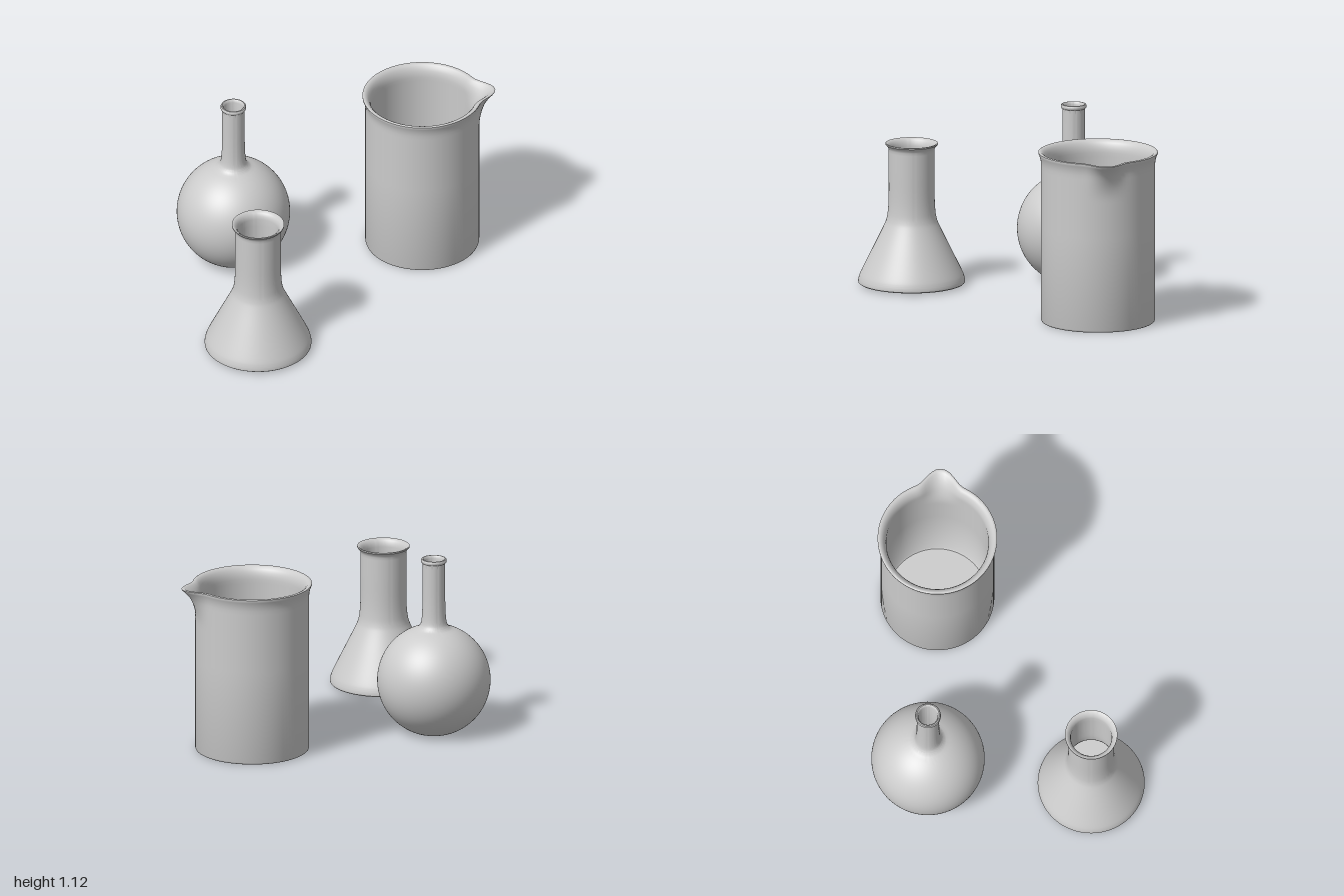
import * as THREE from 'three';
import { toCreasedNormals } from 'three/addons/utils/BufferGeometryUtils.js';

const material = new THREE.MeshStandardMaterial({ color: 0xcccccc, side: THREE.DoubleSide });
const SEGMENTS = 96;

// Closed glass wall: profile runs from the base centre, up the outside, over the lip, down the inside.
function glass(name, profile, x, z, reshape) {
  const points = profile.map(([r, y]) => new THREE.Vector2(r, y));
  let geometry = new THREE.LatheGeometry(points, SEGMENTS, Math.PI / 2);
  if (reshape) reshape(geometry.attributes.position);
  geometry = toCreasedNormals(geometry, 0.7);
  const mesh = new THREE.Mesh(geometry, material);
  mesh.name = name;
  mesh.position.set(x, 0, z);
  return mesh;
}

// Smooth run of profile points through a few guides.
function smooth(guides, count) {
  const curve = new THREE.SplineCurve(guides.map(([r, y]) => new THREE.Vector2(r, y)));
  return curve.getPoints(count).map((p) => [p.x, p.y]);
}

// Arc of a bulb between two polar angles measured from straight down.
function bulb(radius, centreY, from, to, count) {
  return Array.from({ length: count + 1 }, (_, i) => {
    const a = from + ((to - from) * i) / count;
    return [radius * Math.sin(a), centreY - radius * Math.cos(a)];
  });
}

function roundFlask() {
  const R = 0.353, cy = 0.33, inner = 0.338;
  const base = Math.asin(0.13 / R), shoulder = Math.PI - Math.asin(0.115 / R);
  return glass('roundBottomFlask', [
    [0, 0.002],
    ...bulb(R, cy, base, shoulder, 40),
    ...smooth([[0.098, 0.673], [0.083, 0.695], [0.075, 0.74], [0.071, 0.83], [0.07, 0.95], [0.07, 1.092]], 20),
    // Rolled lip
    [0.076, 1.095], [0.08, 1.102], [0.08, 1.112], [0.076, 1.119], [0.069, 1.12], [0.063, 1.115], [0.059, 1.1],
    // Inside of the neck and bulb
    [0.058, 0.9], [0.062, 0.75], [0.072, 0.68],
    ...bulb(inner, cy, Math.PI - 0.3, Math.asin(0.12 / inner), 32),
    [0, 0.014],
  ], -0.648, -0.492);
}

function conicalFlask() {
  return glass('conicalFlask', [
    [0, 0.01], [0.315, 0.01], [0.326, 0.012], [0.332, 0.017],
    // Rounded foot, sloping body and neck
    ...smooth([[0.333, 0.026], [0.328, 0.05], [0.312, 0.09], [0.25, 0.217], [0.178, 0.364], [0.156, 0.42], [0.147, 0.48], [0.143, 0.57], [0.143, 0.72], [0.143, 0.862]], 48),
    // Flared lip
    [0.147, 0.873], [0.155, 0.883], [0.163, 0.892], [0.163, 0.9], [0.155, 0.9], [0.14, 0.888], [0.13, 0.87],
    // Inside
    ...smooth([[0.127, 0.85], [0.127, 0.57], [0.132, 0.48], [0.142, 0.42], [0.165, 0.355], [0.235, 0.21], [0.297, 0.085], [0.312, 0.04]], 30),
    [0.3, 0.028], [0, 0.028],
  ], -0.648, 0.525);
}

function beaker() {
  const outer = Array.from({ length: 17 }, (_, i) => [0.355, 0.6 + 0.025 * i]);
  const inner = Array.from({ length: 17 }, (_, i) => [0.318, 1.0 - 0.025 * i]);
  return glass('beaker', [
    [0, 0], [0.345, 0], [0.352, 0.004], [0.355, 0.012],
    ...outer,
    // Flared rim
    [0.357, 1.02], [0.361, 1.04], [0.367, 1.058], [0.372, 1.07], [0.372, 1.077], [0.367, 1.08],
    [0.358, 1.08], [0.346, 1.074], [0.334, 1.06], [0.325, 1.04], [0.32, 1.02],
    ...inner,
    [0.318, 0.04], [0.31, 0.03], [0, 0.03],
  ], 0.541, -0.492, (position) => {
    // Pull the rim outwards along +x to form the pouring spout
    const width = 0.44;
    for (let i = 0; i < position.count; i++) {
      const x = position.getX(i), y = position.getY(i), z = position.getZ(i);
      const angle = Math.abs(Math.atan2(z, x));
      if (y < 0.84 || angle > width) continue;
      const rise = Math.min(1, (y - 0.84) / 0.235);
      const across = 0.5 + 0.5 * Math.cos((Math.PI * angle) / width);
      const r = Math.hypot(x, z);
      const k = (r + 0.088 * rise * rise * Math.pow(across, 1.2)) / r;
      position.setX(i, x * k);
      position.setZ(i, z * k);
    }
  });
}

export function createModel() {
  const group = new THREE.Group();
  group.name = 'laboratoryGlassware';
  group.add(roundFlask(), conicalFlask(), beaker());
  return group;
}
